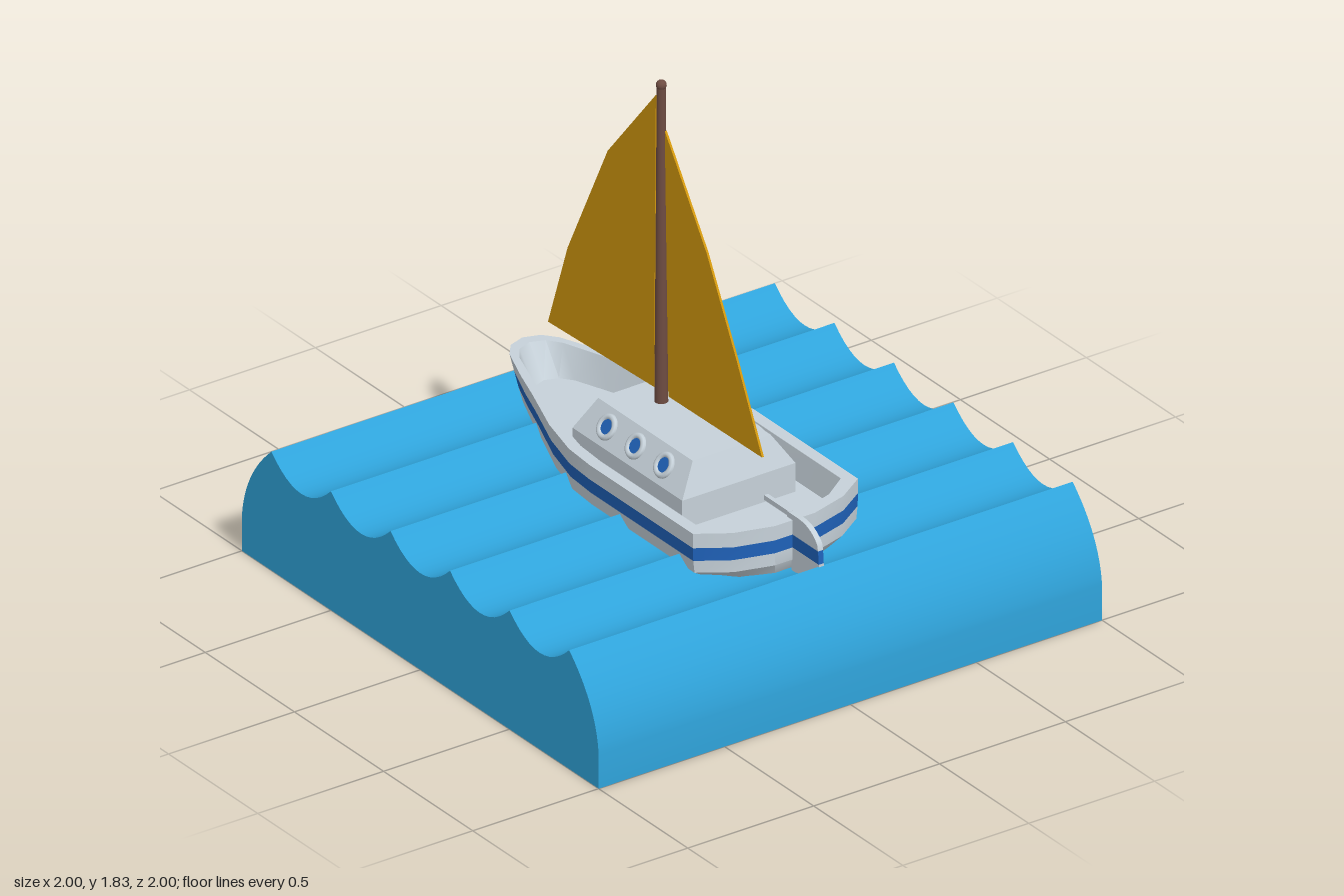
import * as THREE from 'three';
import { toCreasedNormals } from 'three/addons/utils/BufferGeometryUtils.js';

const material = (name, color) => {
  const m = new THREE.MeshStandardMaterial({ color });
  m.name = name;
  return m;
};

// Skin between equal-length rings of [x, y, z], with optional fan caps
function loft(rings, capStart, capEnd, crease = 0.55) {
  const pos = [];
  const n = rings[0].length;
  const centre = (r) => [0, 1, 2].map((k) => r.reduce((s, p) => s + p[k], 0) / n);
  const first = rings[0], last = rings[rings.length - 1];
  for (let j = 0; j < n; j++) {
    const k = (j + 1) % n;
    for (let i = 0; i < rings.length - 1; i++) {
      const a = rings[i][j], b = rings[i][k], c = rings[i + 1][k], d = rings[i + 1][j];
      pos.push(...a, ...b, ...c, ...a, ...c, ...d);
    }
    if (capStart) pos.push(...centre(first), ...first[k], ...first[j]);
    if (capEnd) pos.push(...centre(last), ...last[j], ...last[k]);
  }
  const g = new THREE.BufferGeometry();
  g.setAttribute('position', new THREE.Float32BufferAttribute(pos, 3));
  return toCreasedNormals(g, crease);
}

// Plate cut from a shape in the xy plane, centred on z = 0
function plate(shape, depth, curveSegments = 10) {
  const g = new THREE.ExtrudeGeometry(shape, { depth, bevelEnabled: false, curveSegments });
  g.translate(0, 0, -depth / 2);
  return toCreasedNormals(g, 0.5);
}
const polygon = (pts) => new THREE.Shape(pts.map(([x, y]) => new THREE.Vector2(x, y)));

// Half plan of the hull, bow to stern
const halfPlan = [[-0.84, 0], [-0.82, 0.06], [-0.77, 0.1], [-0.63, 0.155], [-0.5, 0.2], [-0.3, 0.275],
  [-0.13, 0.318], [0, 0.328], [0.58, 0.328], [0.65, 0.22], [0.69, 0.08]];
const plan = [...halfPlan, ...halfPlan.slice(1).reverse().map(([x, z]) => [x, -z])];
const hullRing = (y, bow, stern, width) =>
  plan.map(([x, z]) => [x < 0 ? (x * bow) / -0.84 : (x * stern) / 0.69, y, z * width]);

export function createModel() {
  const water = material('water blue', 0x2fa3da);
  const white = material('pale grey paint', 0xc6d1d9);
  const blue = material('stripe blue', 0x1f61b8);
  const gold = material('sail gold', 0xd4990f);
  gold.side = THREE.DoubleSide;
  const brown = material('mast brown', 0x6e4c42);

  const model = new THREE.Group();
  const add = (name, geometry, mat, parent = model) => {
    const mesh = new THREE.Mesh(geometry, mat);
    mesh.name = name;
    parent.add(mesh);
    return mesh;
  };

  // Block of sea with five scalloped troughs and rounded shoulders
  const sea = new THREE.Shape();
  sea.moveTo(-1, 0).lineTo(1, 0).lineTo(1, 0.13);
  sea.quadraticCurveTo(0.985, 0.3, 0.835, 0.437);
  for (let i = 0; i < 5; i++) {
    const x = 0.835 - i * 0.334;
    sea.quadraticCurveTo(x - 0.167, 0.273, x - 0.334, 0.437);
  }
  sea.quadraticCurveTo(-0.985, 0.3, -1, 0.13);
  add('sea', plate(sea, 2, 12), water);

  // Hull: underside, painted band, topsides with rim and open interior
  const bandLow = hullRing(0.445, -0.785, 0.69, 0.995);
  const bandHigh = hullRing(0.492, -0.81, 0.69, 1);
  add('hullBottom', loft([hullRing(0.35, -0.55, 0.66, 0.75), hullRing(0.4, -0.76, 0.69, 0.98), bandLow],
    true, false), white);
  add('hullStripe', loft([bandLow, bandHigh]), blue);
  add('hullTopAndDeck', loft([bandHigh, hullRing(0.545, -0.84, 0.69, 1), hullRing(0.545, -0.8, 0.65, 0.865),
    hullRing(0.44, -0.72, 0.61, 0.82)], false, true), white);

  // Cabin with sloping sides
  const cabinRing = (y, x0, x1, z) => [[x0, y, z], [x1, y, z], [x1, y, -z], [x0, y, -z]];
  add('cabin', loft([cabinRing(0.43, -0.24, 0.375, 0.225), cabinRing(0.545, -0.24, 0.375, 0.225),
    cabinRing(0.653, -0.195, 0.335, 0.155)], true, true, 0.1), white);

  // Portholes lying on the sloping cabin sides
  const tilt = Math.atan2(0.07, 0.108);
  for (const side of [1, -1]) {
    for (const x of [-0.095, 0.065, 0.225]) {
      const port = new THREE.Group();
      port.name = 'porthole';
      port.position.set(x, 0.6, side * 0.19);
      port.rotation.order = 'YXZ';
      port.rotation.set(-tilt, side > 0 ? 0 : Math.PI, 0);
      add('portholeRing', new THREE.TorusGeometry(0.035, 0.011, 8, 24), white, port);
      const glass = add('portholeGlass', new THREE.CircleGeometry(0.029, 24), blue, port);
      glass.position.z = 0.004;
      model.add(port);
    }
  }

  // Rudder in three painted bands, with the tiller reaching inboard
  const rudderTop = new THREE.Shape();
  rudderTop.moveTo(0.66, 0.492).lineTo(0.833, 0.492).lineTo(0.828, 0.515);
  rudderTop.quadraticCurveTo(0.79, 0.565, 0.72, 0.565);
  rudderTop.lineTo(0.66, 0.565);
  add('rudderTop', plate(rudderTop, 0.02), white);
  add('rudderStripe', plate(polygon([[0.685, 0.445], [0.837, 0.445], [0.833, 0.492], [0.685, 0.492]]), 0.02), blue);
  add('rudderBlade', plate(polygon([[0.685, 0.36], [0.8, 0.36], [0.837, 0.42], [0.837, 0.445], [0.685, 0.445]]),
    0.02), white);
  add('tiller', new THREE.BoxGeometry(0.14, 0.018, 0.016), white).position.set(0.598, 0.557, 0);

  // Tapered mast with a round cap
  add('mast', new THREE.CylinderGeometry(0.015, 0.023, 1.18, 16), brown).position.set(-0.06, 1.23, 0);
  add('mastCap', new THREE.SphereGeometry(0.018, 16, 10), brown).position.set(-0.06, 1.815, 0);

  // Fore and aft sails
  add('foreSail', plate(polygon([[-0.085, 1.768], [-0.355, 1.445], [-0.58, 0.99], [-0.69, 0.67], [-0.095, 0.69]]),
    0.008), gold);
  add('aftSail', plate(polygon([[-0.035, 1.657], [-0.015, 0.69], [0.51, 0.695], [0.37, 0.985], [0.2, 1.31]]),
    0.008), gold);

  return model;
}
